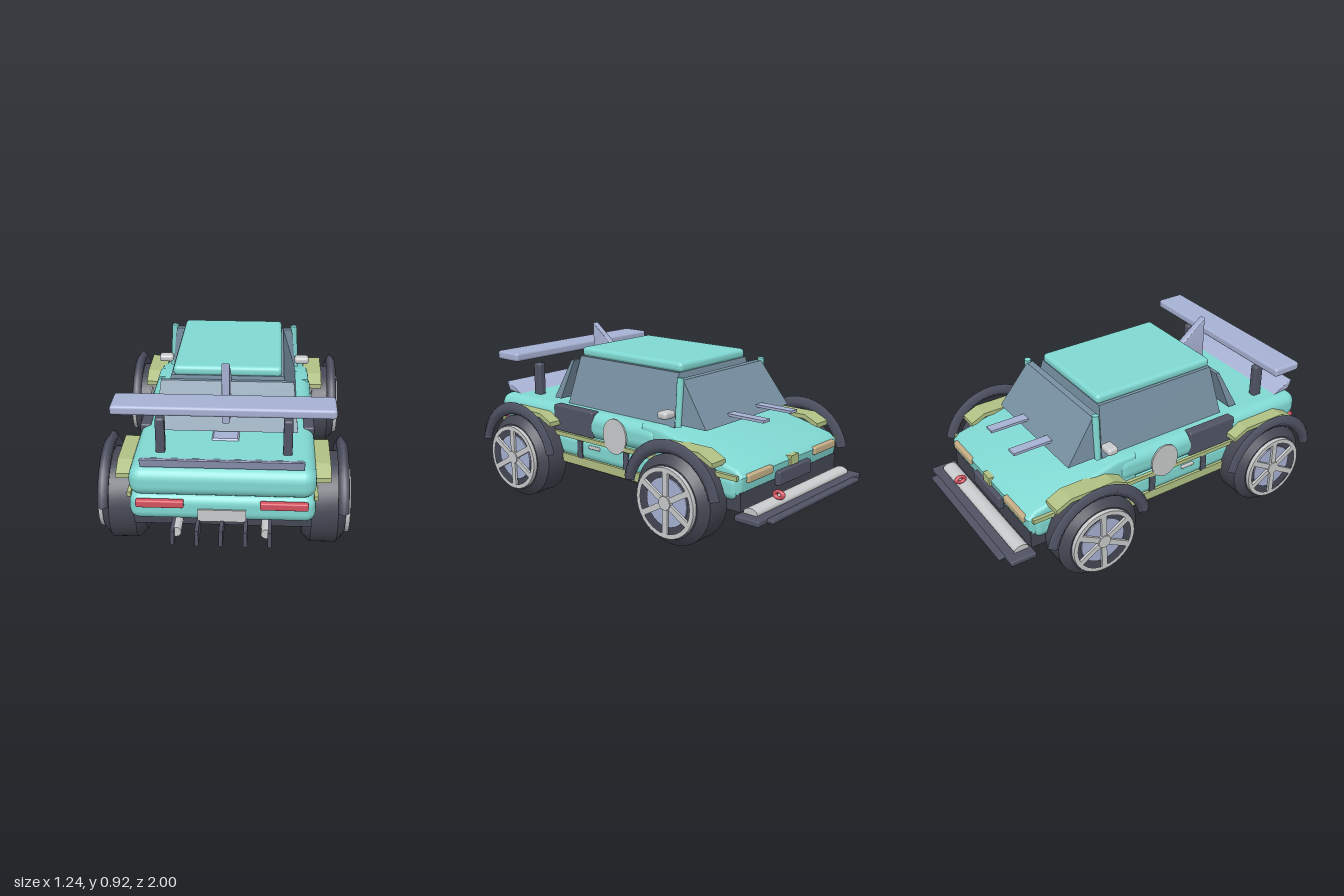
import * as THREE from 'three';
import { toCreasedNormals } from 'three/addons/utils/BufferGeometryUtils.js';
import { RoundedBoxGeometry } from 'three/addons/geometries/RoundedBoxGeometry.js';

const mat = (name, color) => {
  const m = new THREE.MeshStandardMaterial({ color });
  m.name = name;
  return m;
};

export function createModel() {
  const car = new THREE.Group();
  car.name = 'car';
  const teal = mat('teal paint', 0x80d8d2), glass = mat('tinted glass', 0x7790a2);
  const lavender = mat('lavender trim', 0xa6b0d2), dark = mat('dark trim', 0x505364);
  const rubber = mat('tyre rubber', 0x444753), lime = mat('lime trim', 0xb0c084);
  const silver = mat('silver', 0xc8cacb), red = mat('red lamp', 0xd4525f), tan = mat('headlight tan', 0xc4ae86);

  const add = (name, geo, material, x = 0, y = 0, z = 0, parent = car) => {
    const m = new THREE.Mesh(geo, material);
    m.name = name;
    m.position.set(x, y, z);
    parent.add(m);
    return m;
  };
  // Box given by its limits; r rounds the edges
  const box = (name, material, x0, x1, y0, y1, z0, z1, r = 0) => {
    const s = [x1 - x0, y1 - y0, z1 - z0];
    const g = r ? new RoundedBoxGeometry(...s, 3, r) : new THREE.BoxGeometry(...s);
    return add(name, g, material, (x0 + x1) / 2, (y0 + y1) / 2, (z0 + z1) / 2);
  };
  // Side profile of (z, y) points, extruded across x
  const profile = (name, material, pts, width, x = 0, bevel = 0) => {
    const shape = new THREE.Shape(pts.map(p => new THREE.Vector2(...p)));
    const depth = width - 2 * bevel;
    const g = new THREE.ExtrudeGeometry(shape, {
      depth, bevelEnabled: bevel > 0, bevelSize: bevel, bevelThickness: bevel, bevelOffset: -bevel, bevelSegments: 3,
    });
    g.translate(0, 0, -depth / 2).rotateY(-Math.PI / 2);
    return add(name, bevel ? toCreasedNormals(g, 0.6) : g, material, x);
  };
  // Box with separate footprints at its bottom and top: [halfX, z0, z1, y]
  const frustum = (name, material, low, high) => {
    const g = new THREE.BoxGeometry(2, 1, 1), p = g.attributes.position;
    for (let i = 0; i < p.count; i++) {
      const [hx, z0, z1, y] = p.getY(i) > 0 ? high : low;
      p.setXYZ(i, Math.sign(p.getX(i)) * hx, y, p.getZ(i) > 0 ? z1 : z0);
    }
    g.computeVertexNormals();
    return add(name, g, material);
  };

  // Body shell
  box('lowerBody', teal, -0.445, 0.445, 0.245, 0.385, -0.82, 0.895, 0.05);
  box('upperBody', teal, -0.445, 0.445, 0.375, 0.525, -0.32, 0.905, 0.06);
  profile('hood', teal, [[-0.2, 0.28], [-0.825, 0.28], [-0.84, 0.375], [-0.8, 0.41], [-0.32, 0.525], [-0.2, 0.525]], 0.87, 0, 0.02);
  box('chassis', rubber, -0.43, 0.43, 0.205, 0.3, -0.83, 0.85);

  // Cabin
  frustum('cabinGlass', glass, [0.36, -0.365, 0.405, 0.52], [0.285, -0.33, 0.375, 0.785]);
  frustum('windshield', glass, [0.36, -0.565, -0.365, 0.54], [0.335, -0.4, -0.365, 0.765]);
  frustum('rearGlass', glass, [0.36, 0.465, 0.515, 0.54], [0.335, 0.38, 0.4, 0.765]);
  box('roof', teal, -0.275, 0.275, 0.78, 0.833, -0.335, 0.38, 0.022);

  // Aero parts
  box('rearWing', lavender, -0.53, 0.53, 0.75, 0.798, 0.63, 0.795, 0.015);
  profile('ducktail', lavender, [[0.78, 0.525], [0.88, 0.53], [0.905, 0.58], [0.88, 0.575]], 0.77, 0, 0.004);
  profile('sharkFin', lavender, [[0.37, 0.785], [0.45, 0.6], [0.545, 0.6], [0.545, 0.92]], 0.04, 0, 0.006);
  frustum('deckVent', lavender, [0.07, 0.48, 0.59, 0.522], [0.06, 0.49, 0.58, 0.534]);
  for (const x of [-0.127, 0.12]) box('hoodBlade', lavender, x - 0.028, x + 0.028, 0.568, 0.582, -0.755, -0.535);

  // Nose
  box('splitter', dark, -0.475, 0.475, 0.175, 0.205, -0.965, -0.825, 0.008);
  box('splitterLip', dark, -0.405, 0.405, 0.18, 0.2, -1, -0.955, 0.006);
  const bumper = add('bumperBar', new THREE.CylinderGeometry(0.04, 0.04, 0.84, 20), silver, 0, 0.212, -0.88);
  bumper.rotation.z = Math.PI / 2;
  bumper.scale.x = 0.6;
  box('nosePlate', dark, -0.145, 0.145, 0.265, 0.34, -0.858, -0.825, 0.008);
  box('noseBadge', lime, -0.035, 0.035, 0.345, 0.395, -0.85, -0.82);
  const hook = add('towHook', new THREE.TorusGeometry(0.024, 0.012, 8, 18), red, 0.22, 0.255, -0.905);
  hook.rotation.y = Math.PI / 2;
  hook.scale.y = 0.7;

  // Tail
  box('rearPlate', silver, -0.115, 0.115, 0.255, 0.318, 0.885, 0.904);
  for (let i = -2; i <= 2; i++) box('diffuserFin', dark, i * 0.114 - 0.009, i * 0.114 + 0.009, 0.18, 0.26, 0.84, 1);

  // Wheel geometries, axle along x
  const axle = g => g.rotateZ(-Math.PI / 2);
  const tyreGeo = toCreasedNormals(axle(new THREE.LatheGeometry(
    [[0, -0.108], [0.185, -0.108], [0.23, -0.065], [0.23, 0.065], [0.185, 0.105], [0, 0.105]]
      .map(p => new THREE.Vector2(...p)), 36)), 0.5);
  const ringGeo = axle(new THREE.CylinderGeometry(0.178, 0.178, 0.028, 36, 1, true));
  const ringFace = new THREE.RingGeometry(0.155, 0.178, 36).rotateY(Math.PI / 2);
  const discGeo = axle(new THREE.CylinderGeometry(0.125, 0.125, 0.012, 28));
  const hubGeo = axle(new THREE.CylinderGeometry(0.035, 0.04, 0.025, 16));
  const archGeo = new THREE.TorusGeometry(0.272, 0.034, 4, 18, Math.PI * 0.86)
    .rotateZ(Math.PI * 0.07).scale(1, 1, 0.8).rotateY(Math.PI / 2);

  for (const s of [-1, 1]) {
    // Box on this side, x limits measured outward
    const sideBox = (name, m, a, b, ...rest) => box(name, m, Math.min(s * a, s * b), Math.max(s * a, s * b), ...rest);

    for (const z of [0.594, -0.52]) {
      const wheel = new THREE.Group();
      wheel.name = 'wheel';
      wheel.position.set(s * 0.492, 0.23, z);
      wheel.rotation.y = s > 0 ? 0 : Math.PI;
      car.add(wheel);
      add('tyre', tyreGeo, rubber, 0, 0, 0, wheel);
      add('rimEdge', ringGeo, silver, 0.113, 0, 0, wheel);
      add('rimRing', ringFace, silver, 0.127, 0, 0, wheel);
      add('brakeDisc', discGeo, lavender, 0.106, 0, 0, wheel);
      add('hub', hubGeo, silver, 0.117, 0, 0, wheel);
      for (let i = 0; i < 3; i++) {
        const spoke = add('spokePair', new THREE.BoxGeometry(0.014, 0.335, 0.03), silver, 0.118, 0, 0, wheel);
        spoke.rotation.x = i * Math.PI / 3;
      }
      add('wheelArch', archGeo, dark, s * 0.577, 0.23, z);
      profile('fender', lime, [[-0.205, 0.42], [-0.12, 0.46], [0.12, 0.46], [0.205, 0.42], [0.205, 0.445], [0.125, 0.483], [-0.125, 0.483], [-0.205, 0.445]]
        .map(([a, b]) => [a + z, b]), 0.105, s * 0.464);
    }

    // Flank trim
    sideBox('sideSkirt', lime, 0.4, 0.45, 0.217, 0.265, -0.36, 0.42);
    sideBox('beltStrip', lime, 0.435, 0.454, 0.362, 0.385, -0.82, 0.87);
    for (const z of [0.23, -0.11]) sideBox('skirtPost', dark, 0.43, 0.45, 0.26, 0.358, z - 0.018, z + 0.018);
    sideBox('doorHandle', silver, 0.435, 0.455, 0.328, 0.346, 0.08, 0.16, 0.005);
    sideBox('sideIntake', dark, 0.39, 0.446, 0.385, 0.53, 0.135, 0.435, 0.01);
    const roundel = add('doorRoundel', axle(new THREE.CylinderGeometry(0.09, 0.09, 0.009, 32)), silver, s * 0.45, 0.432, -0.035);
    roundel.scale.set(1, 1.06, 0.92);

    // Pillars, mirrors, struts
    const pillar = add('pillar', new THREE.CylinderGeometry(0.018, 0.018, 0.25, 12), teal, s * 0.352, 0.655, -0.39);
    pillar.rotation.z = s * 0.06;
    sideBox('mirror', silver, 0.355, 0.437, 0.572, 0.612, -0.372, -0.31, 0.016);
    sideBox('wingStrut', dark, 0.285, 0.33, 0.515, 0.706, 0.672, 0.728, 0.012);

    // Lamps and exhausts
    sideBox('tailLight', red, 0.18, 0.408, 0.332, 0.37, 0.89, 0.922, 0.008);
    sideBox('headlight', tan, 0.19, 0.395, 0.345, 0.385, -0.852, -0.815, 0.008);
    const exhaust = add('exhaust', new THREE.CylinderGeometry(0.025, 0.025, 0.12, 18), silver, s * 0.212, 0.235, 0.91);
    exhaust.rotation.x = Math.PI / 2;
  }
  return car;
}
